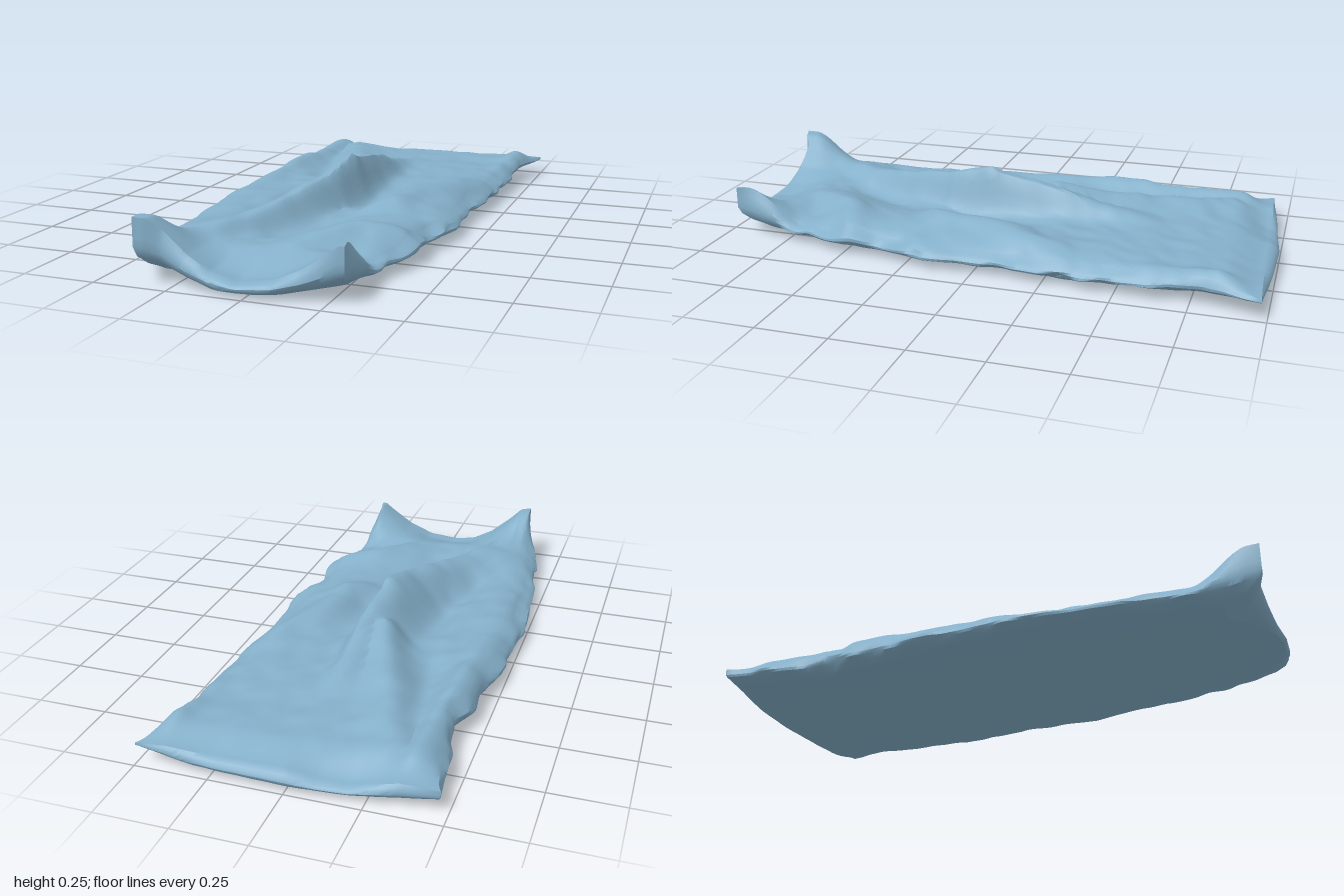
import * as THREE from 'three';
import { mergeVertices, toCreasedNormals } from 'three/addons/utils/BufferGeometryUtils.js';

const { lerp, clamp, smoothstep } = THREE.MathUtils;

// Piecewise linear curve through [position, value] pairs
function lookup(pairs, t) {
  if (t <= pairs[0][0]) return pairs[0][1];
  for (let i = 1; i < pairs.length; i++) {
    const [a, va] = pairs[i - 1], [b, vb] = pairs[i];
    if (t <= b) return lerp(va, vb, (t - a) / (b - a));
  }
  return pairs[pairs.length - 1][1];
}

// Outline of the sack: x of both long edges by z, z of both ends by x
const minX = [[-1, -0.475], [-0.9, -0.46], [-0.75, -0.445], [-0.6, -0.42], [-0.5, -0.455], [-0.3, -0.46],
  [-0.2, -0.48], [0, -0.5], [0.1, -0.505], [0.25, -0.49], [0.6, -0.46], [0.75, -0.44], [0.85, -0.41], [0.95, -0.375], [1, -0.36]];
const maxX = [[-1, 0.5], [-0.9, 0.47], [-0.8, 0.445], [-0.5, 0.445], [-0.3, 0.43], [0, 0.41], [0.2, 0.43],
  [0.3, 0.4], [0.4, 0.385], [0.53, 0.385], [0.6, 0.36], [0.7, 0.335], [0.8, 0.32], [1, 0.305]];
const backZ = [[-0.47, -0.945], [-0.3, -0.97], [0, -1], [0.2, -0.995], [0.5, -0.98]];
const frontZ = [[-0.37, 0.99], [-0.33, 0.985], [-0.28, 0.965], [-0.15, 0.98], [-0.03, 0.995], [0.1, 0.985], [0.3, 0.95]];
// Heights of the turned-up front hem and the thin back hem
const hemY = [[-0.4, 0.17], [-0.36, 0.22], [-0.32, 0.215], [-0.27, 0.17], [-0.2, 0.11], [-0.12, 0.065],
  [-0.03, 0.045], [0.08, 0.06], [0.17, 0.1], [0.25, 0.155], [0.29, 0.185], [0.32, 0.18]];
const backY = [[-0.47, 0.08], [-0.35, 0.085], [-0.2, 0.05], [-0.1, 0.055], [0, 0.075], [0.25, 0.07], [0.4, 0.08], [0.5, 0.075]];

// Folds: paths of [x, z, height] with a fall-off width on the -x and +x side
const ridges = [
  { minus: 0.11, plus: 0.04, path: [[0, -0.6, 0], [0.01, -0.4, 0.045], [0.015, -0.2, 0.1], [0, 0.05, 0.153],
    [-0.02, 0.2, 0.12], [-0.09, 0.4, 0.075], [-0.17, 0.6, 0.04], [-0.27, 0.78, 0.025], [-0.3, 0.86, 0]] },
  { minus: 0.07, plus: 0.09, path: [[-0.33, -0.92, 0], [-0.3, -0.8, 0.025], [-0.2, -0.55, 0.035], [-0.13, -0.38, 0.055],
    [-0.06, -0.18, 0.1], [-0.02, 0.05, 0]] },
  { minus: 0.08, plus: 0.05, path: [[-0.38, -0.97, 0], [-0.37, -0.85, 0.04], [-0.38, -0.65, 0.04], [-0.4, -0.3, 0.04],
    [-0.41, -0.1, 0.025], [-0.41, 0.2, 0]] },
  { minus: 0.08, plus: 0.06, path: [[0.42, -0.38, 0.01], [0.33, -0.2, 0.035], [0.22, 0, 0.035], [0.2, 0.18, 0.04], [0.08, 0.25, 0.02], [0, 0.4, 0]] },
  { minus: 0.08, plus: 0.05, path: [[0.37, 0.47, 0.03], [0.2, 0.53, 0.035], [0.1, 0.65, 0.025], [0.03, 0.78, 0]] },
  { minus: 0.05, plus: 0.06, path: [[0.45, -0.98, 0.02], [0.43, -0.83, 0.045], [0.41, -0.6, 0.025], [0.4, -0.4, 0]] },
];
const hollows = [
  { minus: 0.06, plus: 0.07, path: [[0.12, -0.25, 0], [0.1, 0.1, -0.03], [0.05, 0.35, -0.03], [-0.07, 0.6, -0.025], [-0.15, 0.78, 0]] },
  { minus: 0.06, plus: 0.06, path: [[-0.15, -0.2, 0], [-0.17, 0, -0.03], [-0.2, 0.2, -0.035], [-0.24, 0.42, -0.03], [-0.3, 0.6, 0]] },
  { minus: 0.05, plus: 0.05, path: [[-0.3, -0.8, 0], [-0.29, -0.5, -0.02], [-0.26, -0.3, -0.02], [-0.22, -0.1, 0]] },
  { minus: 0.07, plus: 0.07, path: [[0.33, 0.64, 0], [0.25, 0.68, -0.025], [0.15, 0.8, 0]] },
];

function foldHeight({ path, minus, plus }, x, z) {
  let best = Infinity, result = 0;
  for (let i = 1; i < path.length; i++) {
    const [ax, az, ah] = path[i - 1], [bx, bz, bh] = path[i];
    const dx = bx - ax, dz = bz - az;
    const k = clamp(((x - ax) * dx + (z - az) * dz) / (dx * dx + dz * dz), 0, 1);
    const d = Math.hypot(x - ax - k * dx, z - az - k * dz);
    if (d < best) {
      best = d;
      const width = dx * (z - az) - dz * (x - ax) < 0 ? plus : minus;
      result = lerp(ah, bh, k) * Math.exp(-((d / width) ** 2));
    }
  }
  return result;
}

// Seeded value noise for the small crumples in the cloth
function hash(i, j) {
  const s = Math.sin(i * 127.1 + j * 311.7) * 43758.5453;
  return (s - Math.floor(s)) * 2 - 1;
}
function noise(x, z) {
  const i = Math.floor(x), j = Math.floor(z);
  const u = smoothstep(x - i, 0, 1), v = smoothstep(z - j, 0, 1);
  return lerp(lerp(hash(i, j), hash(i + 1, j), u), lerp(hash(i, j + 1), hash(i + 1, j + 1), u), v);
}
const crumple = (x, z) => 0.005 * noise(7 * x + 3 * z, 9 * z) + 0.004 * noise(19 * x, 17 * z + 6 * x);

function topHeight(x, z, side, t) {
  let y = 0.07 + 0.035 * (1 - Math.abs(side) ** 7) + crumple(x, z);
  y += Math.max(0, ...ridges.map((fold) => foldHeight(fold, x, z)));
  for (const fold of hollows) y += foldHeight(fold, x, z);
  y = lerp(y, lookup(backY, x), smoothstep(-t, 0.84, 1));
  return lerp(y, lookup(hemY, x), smoothstep(t, 0.74, 0.96));
}

// Underside: nearly flat, lifting towards the rim and under the back corner flap
function bottomHeight(x, z, side, t) {
  const flap = smoothstep(x, 0.3, 0.52) * smoothstep(-z, 0.2, 1);
  return Math.max(0, 0.005 + 0.016 * Math.abs(side) ** 3 + 0.012 * t ** 4 + 0.025 * flap + 0.4 * crumple(x + 5, z));
}

// Rule that turns a unit box into the rumpled sack
function shapeSack(geometry) {
  const p = geometry.attributes.position;
  for (let i = 0; i < p.count; i++) {
    const side = p.getX(i) * 2, w = p.getY(i) + 0.5, t = p.getZ(i) * 2;
    const under = Math.max(0, 1 - 2 * w) ** 2, over = Math.max(0, 2 * w - 1) ** 2;
    const edge = Math.abs(side) ** 5, end = Math.abs(t) ** 9;

    // Long edges roll in below and above, with ragged creases
    const ragged = 0.012 * noise(13 * t + 40 * Math.sign(side), 3 * w) * (1 - end);
    const inset = 0.045 * under + 0.032 * over * (1 - end) + ragged;
    const x = lerp(lookup(minX, t), lookup(maxX, t), (side + 1) / 2) - Math.sign(side) * inset * edge;

    // Front hem leans outward at its corners; both hems roll in at the middle
    const lean = t > 0 ? 0.1 * smoothstep(Math.abs(side), 0.15, 0.9) : 0.02;
    const endInset = end * (under * (0.01 + lean) + 0.03 * over * (1 - side * side));
    const z = lerp(lookup(backZ, x), lookup(frontZ, x), (t + 1) / 2) - endInset * Math.sign(t);

    p.setXYZ(i, x, lerp(bottomHeight(x, z, side, t), topHeight(x, z, side, t), w), z);
  }
}

export function createModel() {
  const group = new THREE.Group();
  group.name = 'rumpledSack';

  let geometry = new THREE.BoxGeometry(1, 1, 1, 70, 6, 130);
  geometry.deleteAttribute('normal');
  geometry.deleteAttribute('uv');
  geometry = mergeVertices(geometry);
  shapeSack(geometry);
  geometry = toCreasedNormals(geometry, 0.6);

  const cloth = new THREE.Mesh(geometry, new THREE.MeshStandardMaterial({ color: 0x85b0ca }));
  cloth.name = 'clothSack';
  group.add(cloth);
  return group;
}
